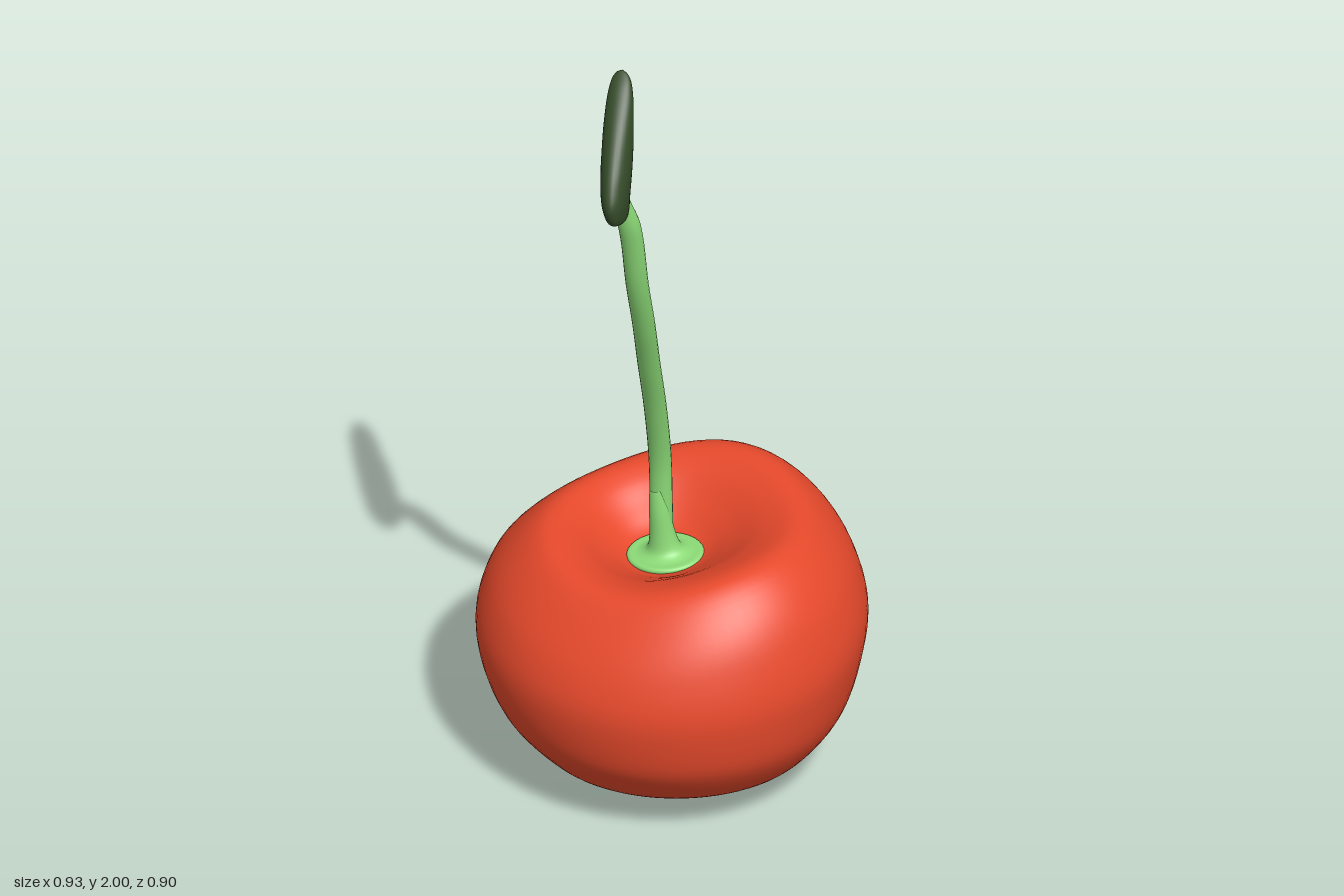
import * as THREE from 'three';
import { mergeVertices } from 'three/addons/utils/BufferGeometryUtils.js';

const V2 = (p) => new THREE.Vector2(p[0], p[1]);
const V3 = (p) => new THREE.Vector3(...p);
const { lerp, clamp, smoothstep: smooth } = THREE.MathUtils;

// Moves every vertex by a rule, then welds seams for smooth normals
function reshape(geometry, rule) {
  const pos = geometry.attributes.position;
  const v = new THREE.Vector3();
  for (let i = 0; i < pos.count; i++) {
    rule(v.fromBufferAttribute(pos, i));
    pos.setXYZ(i, v.x, v.y, v.z);
  }
  geometry.deleteAttribute('uv');
  geometry.deleteAttribute('normal');
  const welded = mergeVertices(geometry, 1e-5);
  welded.computeVertexNormals();
  return welded;
}

function lathe(points, steps, segments) {
  return new THREE.LatheGeometry(new THREE.SplineCurve(points.map(V2)).getPoints(steps), segments);
}

function part(name, geometry, color) {
  const mesh = new THREE.Mesh(geometry, new THREE.MeshStandardMaterial({ color }));
  mesh.name = name;
  return mesh;
}

export function createModel() {
  const group = new THREE.Group();
  group.name = 'cherry';
  const red = 0xe84a2c, green = 0x8ddb78, darkGreen = 0x344a28;

  // Fruit: round body with a dimple at top and bottom, skewed unevenly
  const fruit = lathe([
    [0, 0.085], [0.05, 0.097], [0.12, 0.088], [0.19, 0.058], [0.255, 0.043], [0.325, 0.083],
    [0.415, 0.205], [0.461, 0.37], [0.44, 0.49], [0.385, 0.58], [0.305, 0.643],
    [0.225, 0.625], [0.15, 0.575], [0.085, 0.535], [0, 0.522],
  ], 72, 72);
  group.add(part('fruit', reshape(fruit, (v) => {
    const low = 1 - smooth(v.y, 0.04, 0.36);
    const high = smooth(v.y, 0.38, 0.64);
    const r = Math.hypot(v.x, v.z);
    const dimple = smooth(v.y, 0.4, 0.5) * (1 - smooth(r, 0.08, 0.32));
    const wave = 0.15 * r * r * high * Math.cos(3 * (Math.atan2(v.z, v.x) - Math.PI / 4));
    const slopeX = lerp(lerp(0.06, 0.09, low), 0.14, high);
    const slopeZ = lerp(-0.07, 0.13, low);
    v.y += slopeX * v.x + slopeZ * v.z + wave;
    v.x += 0.07 * v.z - 0.025 * dimple + 0.025 * low;
    v.z = v.z * 0.97 - 0.025 * dimple + 0.035 * low;
  }), red));

  // Flared foot of the stem, lying in the dimple
  const foot = lathe([
    [0, -0.04], [0.07, -0.03], [0.09, -0.008], [0.087, 0.004], [0.062, 0.006],
    [0.04, 0.02], [0.03, 0.06], [0.024, 0.12], [0.016, 0.18],
  ], 40, 32);
  const stemFoot = part('stemFoot', reshape(foot, (v) => { v.z *= 0.85; }), green);
  stemFoot.position.set(-0.025, 0.538, -0.025);
  stemFoot.rotation.set(0.07, 0, 0.1);
  group.add(stemFoot);

  // Stem: S-curved tube, flatter in depth, tapering where it meets the leaf
  const path = new THREE.CatmullRomCurve3([
    [-0.033, 0.53, -0.028], [-0.036, 0.68, -0.027], [-0.035, 0.8, -0.017], [-0.028, 0.97, 0.035],
    [-0.017, 1.15, 0.113], [-0.005, 1.3, 0.182], [0, 1.45, 0.242], [0, 1.6, 0.28], [-0.01, 1.73, 0.315],
  ].map(V3));
  const rings = 64, sides = 20;
  let index = 0;
  const stem = reshape(new THREE.TubeGeometry(path, rings, 0.027, sides), (v) => {
    const t = Math.floor(index++ / (sides + 1)) / rings;
    const centre = path.getPointAt(t);
    v.sub(centre).multiplyScalar(1 - 0.45 * smooth(t, 0.92, 1));
    v.z *= 0.82;
    v.add(centre);
  });
  group.add(part('stem', stem, green));

  // Leaf: lens-shaped sections between a back edge and a front edge (back z, y, front z)
  const edges = new THREE.CatmullRomCurve3([
    [0.355, 1.698, 0.356], [0.312, 1.705, 0.405], [0.296, 1.75, 0.421], [0.27, 1.8, 0.4],
    [0.248, 1.85, 0.362], [0.232, 1.9, 0.318], [0.214, 1.95, 0.268], [0.203, 1.98, 0.234], [0.202, 2.0, 0.205],
  ].map(V3));
  const leaf = new THREE.CylinderGeometry(1, 1, 1, 28, 32, true);
  group.add(part('leaf', reshape(leaf, (v) => {
    const t = clamp(v.y + 0.5, 0, 1);
    const e = edges.getPoint(t);
    const z = (e.x + e.z) / 2 + v.z * (e.z - e.x) / 2;
    const thickness = 0.036 * Math.sqrt(Math.max(0, 4 * t * (1 - t)));
    v.set(-0.05 + 0.1 * (2 - e.y) + 0.09 * (z - 0.2) + v.x * thickness, e.y, z);
  }), darkGreen));

  return group;
}
